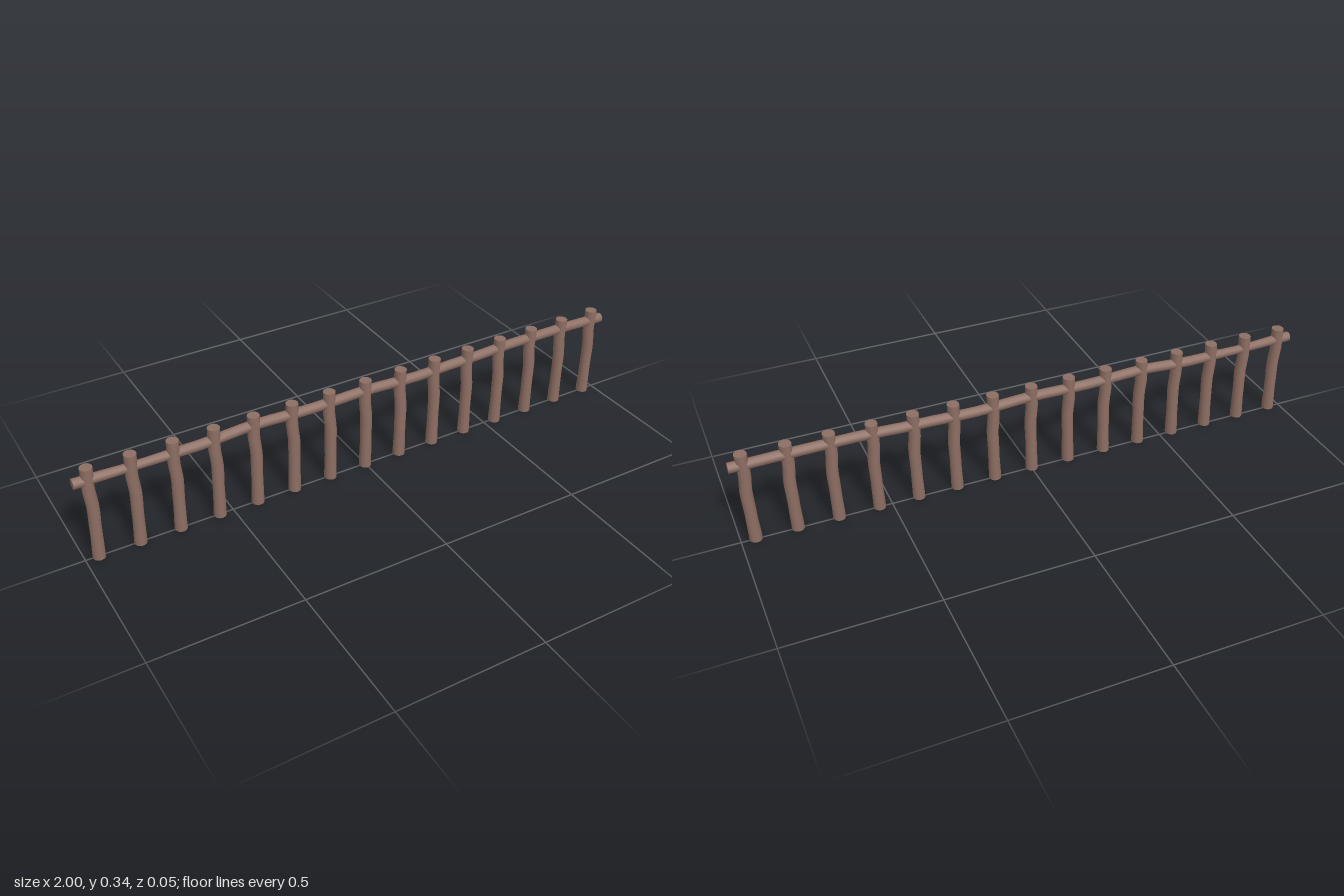
import * as THREE from 'three';

const bark = new THREE.MeshStandardMaterial({ color: 0x8d6e63 });

// A round log along +y, its centre line and thickness following [y, dx, dz, radiusX, radiusZ] sections
function bentLog(sections, sides, segments) {
  const y0 = sections[0][0], y1 = sections[sections.length - 1][0];
  const geo = new THREE.CylinderGeometry(1, 1, y1 - y0, sides, segments);
  geo.translate(0, (y0 + y1) / 2, 0);
  const pos = geo.attributes.position;
  for (let i = 0; i < pos.count; i++) {
    const y = pos.getY(i);
    let k = 0;
    while (k < sections.length - 2 && y > sections[k + 1][0]) k++;
    const a = sections[k], b = sections[k + 1];
    const t = THREE.MathUtils.smoothstep(y, a[0], b[0]);
    const [dx, dz, rx, rz] = [1, 2, 3, 4].map(j => THREE.MathUtils.lerp(a[j], b[j], t));
    pos.setXYZ(i, pos.getX(i) * rx + dx, y, pos.getZ(i) * rz + dz);
  }
  return geo;
}

export function createModel() {
  const group = new THREE.Group();

  // Fifteen slightly crooked posts
  const postGeo = bentLog([
    [0, -0.002, 0.002, 0.021, 0.022],
    [0.1, 0.001, 0.001, 0.0195, 0.0195],
    [0.19, 0.004, 0, 0.02, 0.0205],
    [0.265, -0.001, -0.001, 0.02, 0.0205],
    [0.336, 0.002, -0.0015, 0.0205, 0.0215],
  ], 12, 12);
  for (let i = 0; i < 15; i++) {
    const post = new THREE.Mesh(postGeo, bark);
    post.name = `post${i + 1}`;
    post.position.x = (i - 7) * 0.1363;
    group.add(post);
  }

  // Long wavy rail threaded through the posts; dx is minus its height before turning
  const heights = [0.292, 0.287, 0.287, 0.298, 0.291, 0.295, 0.287, 0.292, 0.299, 0.298, 0.294];
  const railGeo = bentLog(heights.map((h, i) => {
    const r = i === 1 ? 0.015 : 0.0175;
    return [-1 + i * 0.2, -h, i === 0 || i === 10 ? -0.001 : -0.003, r, r];
  }), 12, 40);
  railGeo.rotateZ(-Math.PI / 2);
  // the turn maps (x, y) to (y, -x), so -h becomes +h
  const rail = new THREE.Mesh(railGeo, bark);
  rail.name = 'rail';
  group.add(rail);

  return group;
}
